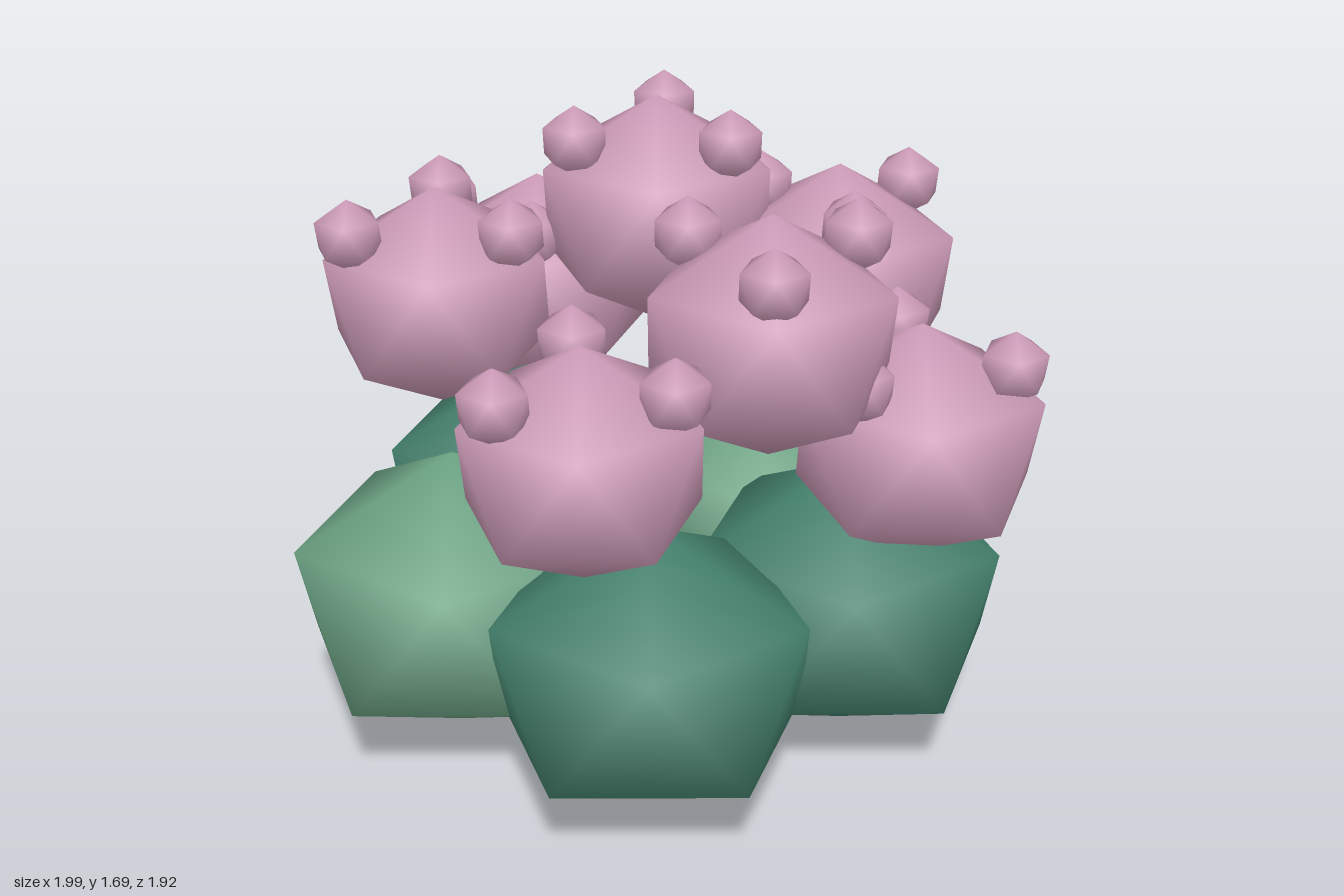
import * as THREE from 'three';
import { mergeVertices } from 'three/addons/utils/BufferGeometryUtils.js';

// Twenty-sided ball standing on a corner, with smooth normals
function makeBall() {
  let geo = new THREE.IcosahedronGeometry(1, 0);
  geo.deleteAttribute('uv');
  geo.deleteAttribute('normal');
  geo = mergeVertices(geo, 1e-3);
  geo.rotateZ(-Math.atan(2 / (1 + Math.sqrt(5))));
  geo.computeVertexNormals();
  return geo;
}

export function createModel() {
  const model = new THREE.Group();
  const ball = makeBall();
  const mat = (name, color) => {
    const m = new THREE.MeshStandardMaterial({ color });
    m.name = name;
    return m;
  };
  const darkGreen = mat('dark leaf green', 0x45836f);
  const lightGreen = mat('light leaf green', 0x6da585);
  const pink = mat('blossom pink', 0xd09dba);

  const add = (parent, name, material, x, y, z, r, squash = 1) => {
    const mesh = new THREE.Mesh(ball, material);
    mesh.name = name;
    mesh.position.set(x, y, z);
    mesh.scale.set(r, r * squash, r);
    parent.add(mesh);
  };

  // Ring of leafy clumps at the base: material, x, y, z, radius
  const leaves = new THREE.Group();
  leaves.name = 'foliage';
  model.add(leaves);
  [
    [lightGreen, -0.545, 0.43, 0.3, 0.494],
    [darkGreen, 0.08, 0.412, 0.495, 0.48],
    [darkGreen, 0.47, 0.42, -0.03, 0.477],
    [lightGreen, 0.08, 0.4, -0.555, 0.472],
    [darkGreen, -0.575, 0.435, -0.36, 0.475],
  ].forEach(([m, x, y, z, r]) => add(leaves, 'leafClump', m, x, y, z, r, 0.85));

  // Flower heads: centre, radius, then x and z of the three buds on each
  const flowers = [
    [-0.035, 1.06, 0.67, 0.35, [[-0.14, 0.44], [0.21, 0.68], [-0.18, 0.87]]],
    [-0.665, 1.2, 0.067, 0.347, [[-0.75, -0.17], [-0.43, 0.11], [-0.835, 0.25]]],
    [-0.61, 1.03, -0.545, 0.365, [[-0.5, -0.74], [-0.89, -0.535], [-0.535, -0.31]]],
    [0.32, 1.27, 0.235, 0.365, [[0.495, 0.05], [0.08, 0.17], [0.39, 0.465]]],
    [-0.185, 1.353, -0.38, 0.367, [[-0.24, -0.615], [0.05, -0.305], [-0.365, -0.21]]],
    [0.3, 1.15, -0.545, 0.368, [[0.45, -0.75], [0.06, -0.59], [0.395, -0.33]]],
    [0.66, 0.917, -0.02, 0.37, [[0.54, -0.255], [0.9, -0.04], [0.55, 0.21]]],
  ];
  for (const [x, y, z, r, buds] of flowers) {
    const flower = new THREE.Group();
    flower.name = 'flowerHead';
    model.add(flower);
    add(flower, 'blossom', pink, x, y, z, r, 0.9);
    for (const [bx, bz] of buds) add(flower, 'bud', pink, bx, y + r * 0.63, bz, 0.1);
  }
  return model;
}
